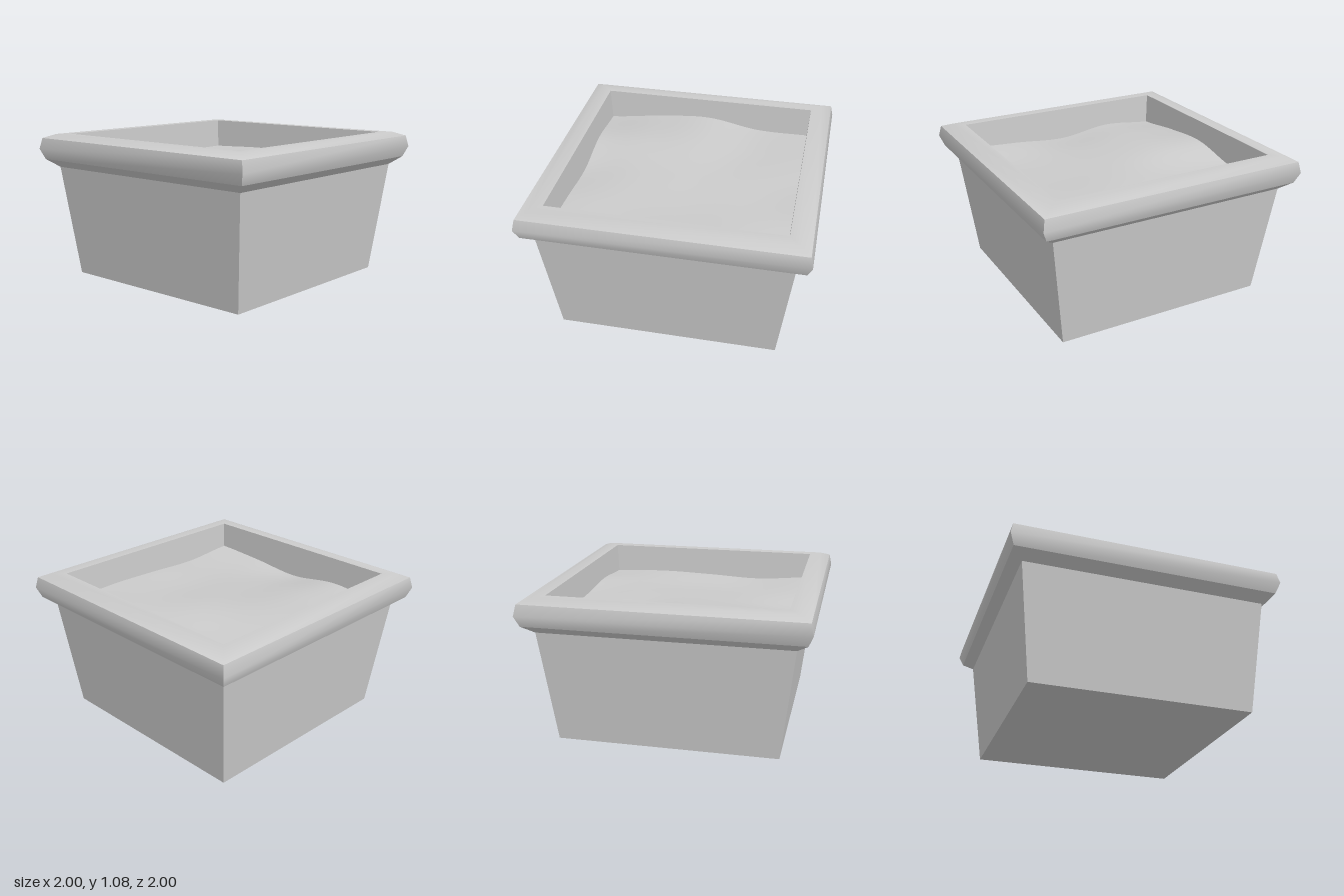
import * as THREE from 'three';
import { toCreasedNormals } from 'three/addons/utils/BufferGeometryUtils.js';

const material = new THREE.MeshStandardMaterial({ color: 0xcccccc });

function part(name, geometry) {
  const mesh = new THREE.Mesh(geometry, material);
  mesh.name = name;
  return mesh;
}

// Square rings lofted along a profile of [half width, height] points
function squareLoft(profile) {
  const corners = [[1, 1], [1, -1], [-1, -1], [-1, 1]];
  const positions = [];
  const at = ([r, y], i) => [corners[i % 4][0] * r, y, corners[i % 4][1] * r];
  for (let k = 0; k < profile.length - 1; k++) {
    for (let i = 0; i < 4; i++) {
      const a = at(profile[k], i), b = at(profile[k], i + 1);
      const c = at(profile[k + 1], i + 1), d = at(profile[k + 1], i);
      positions.push(...a, ...b, ...c, ...a, ...c, ...d);
    }
  }
  const g = new THREE.BufferGeometry();
  g.setAttribute('position', new THREE.Float32BufferAttribute(positions, 3));
  return toCreasedNormals(g, 0.7);
}

// Soil heights on an even grid: rows run back to front, columns left to right of the page
const heights = [
  [0.845, 0.895, 0.923, 0.855, 0.85],
  [0.88, 0.91, 0.92, 0.87, 0.865],
  [0.83, 0.87, 0.89, 0.89, 0.87],
  [0.86, 0.85, 0.86, 0.88, 0.89],
  [0.88, 0.85, 0.865, 0.875, 0.86],
];

// Smooth interpolation through five evenly spaced values, t from 0 to 1
function smooth(v, t) {
  const s = Math.min(Math.max(t, 0), 1) * 4;
  const i = Math.min(Math.floor(s), 3), f = s - i;
  const p = (n) => v[Math.min(Math.max(n, 0), 4)];
  const m0 = (p(i + 1) - p(i - 1)) / 2, m1 = (p(i + 2) - p(i)) / 2;
  const f2 = f * f, f3 = f2 * f;
  return (2 * f3 - 3 * f2 + 1) * p(i) + (f3 - 2 * f2 + f) * m0
    + (3 * f2 - 2 * f3) * p(i + 1) + (f3 - f2) * m1;
}

function soilGeometry(half) {
  const g = new THREE.PlaneGeometry(half * 2, half * 2, 32, 32).rotateX(-Math.PI / 2);
  const pos = g.attributes.position;
  for (let i = 0; i < pos.count; i++) {
    const u = (pos.getX(i) / half + 1) / 2, v = (pos.getZ(i) / half + 1) / 2;
    pos.setY(i, smooth(heights.map((row) => smooth(row, u)), v));
  }
  g.computeVertexNormals();
  return g;
}

export function createModel() {
  const model = new THREE.Group();
  model.name = 'squarePlanter';

  // Tapered pot body with its base
  model.add(part('potBody', squareLoft([[0.797, 0], [0.893, 0.827]])));
  model.add(part('potBase', new THREE.PlaneGeometry(1.594, 1.594).rotateX(Math.PI / 2)));

  // Rim, split into bands where its edges are sharp
  const rim = new THREE.Group();
  rim.name = 'rim';
  rim.add(part('rimUnderside', squareLoft([[0.893, 0.827], [0.969, 0.887]])));
  rim.add(part('rimSide', squareLoft([[0.969, 0.887], [1, 0.965], [0.983, 1.047]])));
  rim.add(part('rimTop', squareLoft([[0.983, 1.047], [0.908, 1.077], [0.83, 1.077]])));
  model.add(rim);

  // Inner wall running down below the soil
  model.add(part('innerWall', squareLoft([[0.83, 1.077], [0.812, 0.8]])));

  // Uneven soil surface
  model.add(part('soil', soilGeometry(0.818)));

  return model;
}
